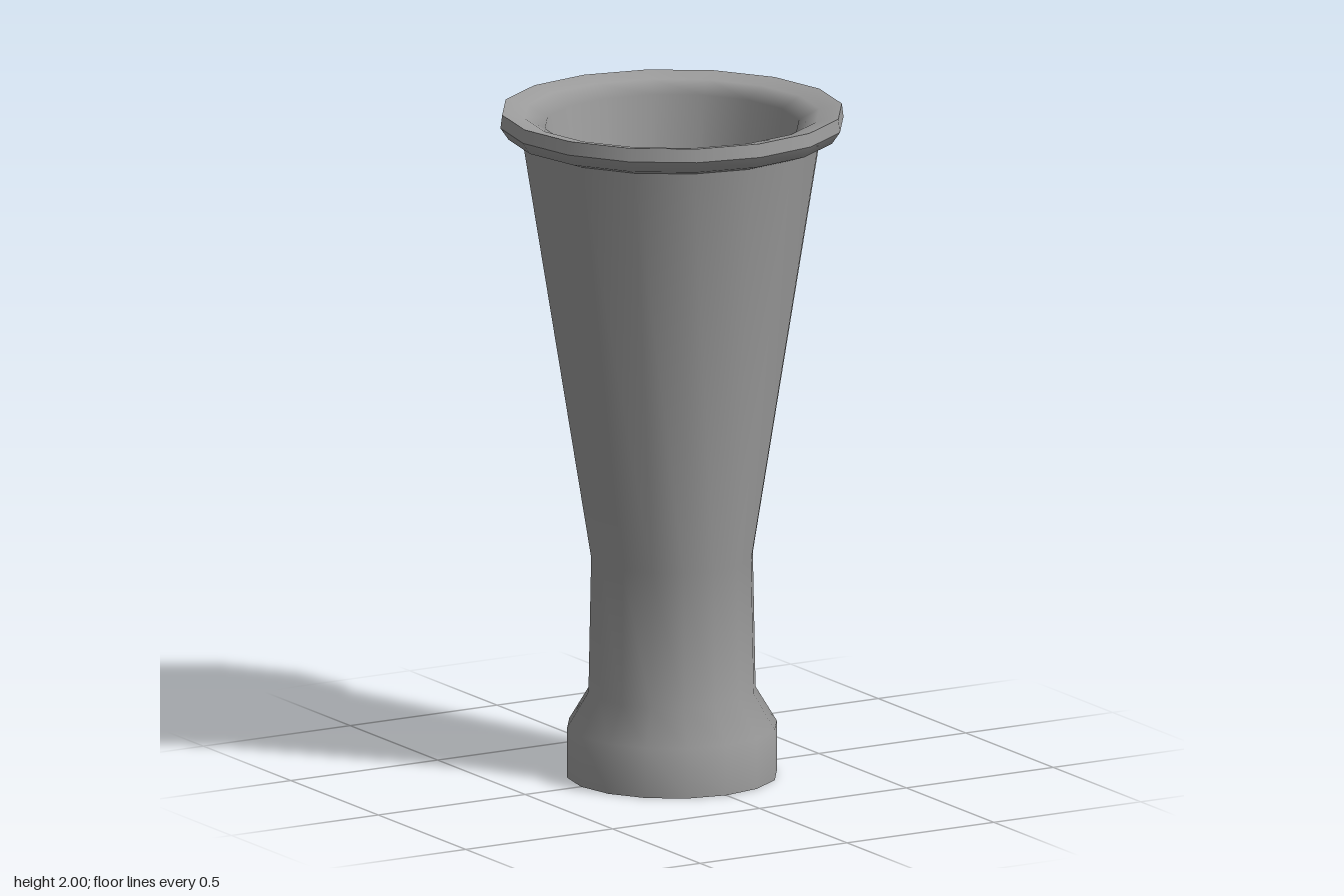
import * as THREE from 'three';

const SIDES = 16;

export function createModel() {
  const group = new THREE.Group();
  const material = new THREE.MeshStandardMaterial({ color: 0x9c9c9c });

  // Each turned section is smooth in itself, with sharp edges between sections
  const turned = (name, profile) => {
    const points = profile.map(([r, y]) => new THREE.Vector2(r, y));
    const mesh = new THREE.Mesh(new THREE.LatheGeometry(points, SIDES), material);
    mesh.name = name;
    group.add(mesh);
  };

  // Flat underside
  turned('underside', [[0, 0], [0.31, 0]]);

  // Foot, neck and flared outer wall
  turned('outerBody', [[0.31, 0], [0.31, 0.15], [0.247, 0.255], [0.239, 0.66], [0.44, 1.91]]);

  // Rim: underside and outer band
  turned('rimUnderside', [[0.44, 1.91], [0.483, 1.925], [0.507, 1.96]]);
  turned('rimBand', [[0.507, 1.96], [0.502, 2]]);

  // Lip rolling into the inner wall
  turned('innerWall', [[0.502, 2], [0.435, 1.987], [0.375, 1.955], [0.185, 0.66]]);

  // Floor of the cavity
  turned('innerFloor', [[0.185, 0.66], [0, 0.66]]);

  return group;
}
